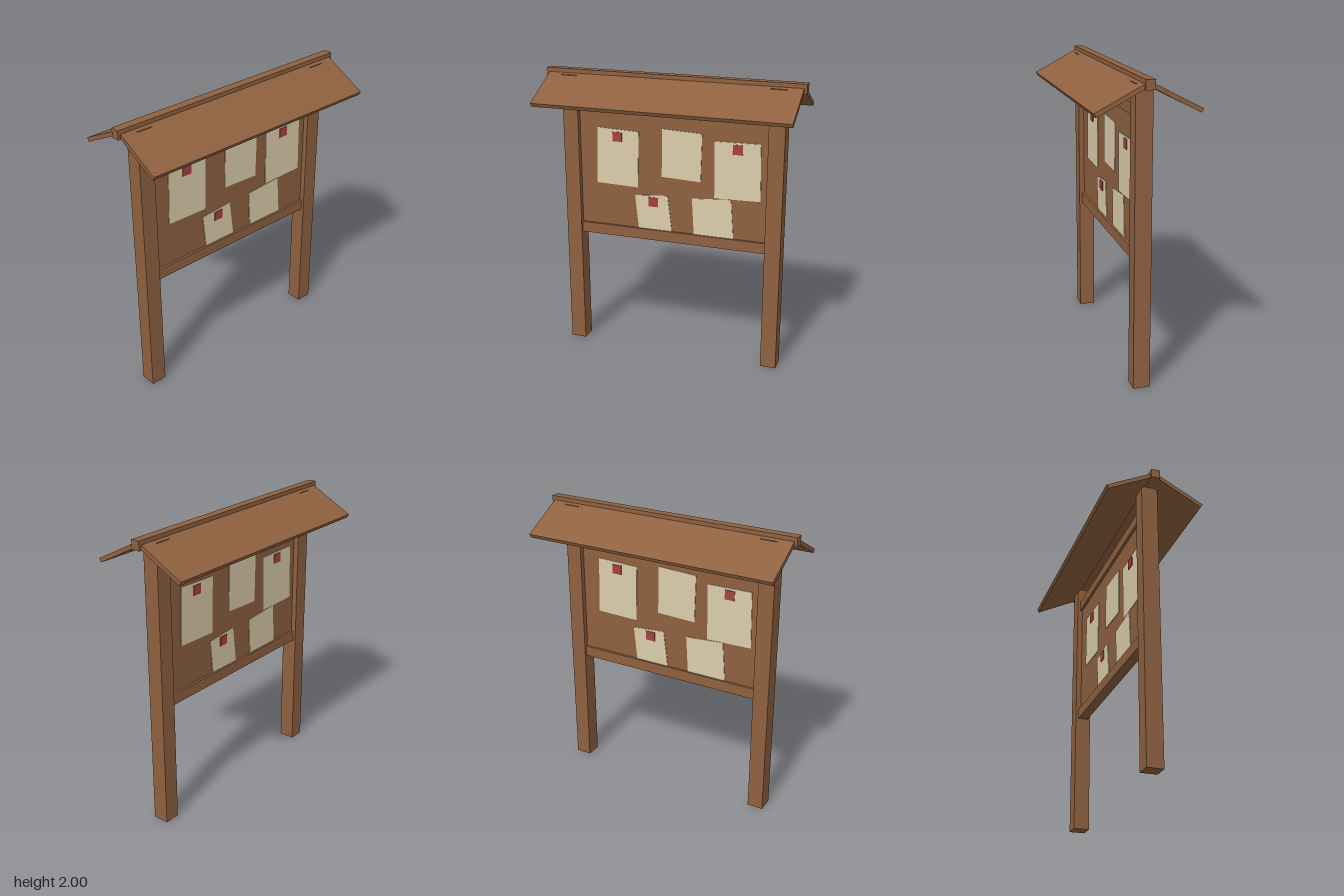
import * as THREE from 'three';

const material = (name, color) => {
  const m = new THREE.MeshStandardMaterial({ color });
  m.name = name;
  return m;
};

export function createModel() {
  const model = new THREE.Group();
  model.name = 'noticeBoard';
  const wood = material('wood', 0x8f6140);
  const paper = material('paper', 0xdccdab);
  const red = material('red', 0xa84040);

  const box = (name, parent, mat, [w, h, d], [x, y, z]) => {
    const mesh = new THREE.Mesh(new THREE.BoxGeometry(w, h, d), mat);
    mesh.name = name;
    mesh.position.set(x, y, z);
    parent.add(mesh);
    return mesh;
  };

  // Frame: posts, board between them, and two rails
  for (const [name, side] of [['leftPost', 1], ['rightPost', -1]]) {
    box(name, model, wood, [0.109, 1.964, 0.11], [side * 0.7215, 0.982, 0]);
  }
  const boardZ = 0.018;
  box('board', model, wood, [1.335, 0.9, boardZ * 2], [0, 1.33, 0]);
  box('lowerRail', model, wood, [1.335, 0.075, 0.07], [0, 0.8735, 0]);
  box('upperRail', model, wood, [1.335, 0.075, 0.07], [0, 1.7865, 0]);
  box('ridgeBeam', model, wood, [1.79, 0.062, 0.06], [0, 1.969, 0]);

  // Notices, as corner points on the board; the lower two tuck behind the rail
  const notices = [
    [[-0.537, 1.61], [-0.235, 1.6], [-0.246, 1.206], [-0.548, 1.214]],
    [[-0.066, 1.635], [0.214, 1.624], [0.206, 1.29], [-0.071, 1.3]],
    [[0.299, 1.582], [0.614, 1.587], [0.622, 1.196], [0.304, 1.188]],
    [[-0.267, 1.148], [-0.029, 1.169], [0.006, 0.88], [-0.24, 0.88]],
    [[0.146, 1.169], [0.421, 1.19], [0.444, 0.88], [0.163, 0.88]],
  ];
  const pins = [[-0.392, 1.553], [0.46, 1.537], [-0.132, 1.112]];

  // Both faces carry the same roof slope and notices, turned half round
  for (const [name, turn] of [['frontSide', 0], ['backSide', Math.PI]]) {
    const half = new THREE.Group();
    half.name = name;
    half.rotation.y = turn;
    model.add(half);

    const slope = new THREE.Group();
    slope.name = 'roofSlope';
    slope.position.y = 1.988;
    slope.rotation.x = 0.48;
    half.add(slope);
    box('roofPanel', slope, wood, [1.754, 0.028, 0.375], [0, -0.014, 0.1875]);

    for (const corners of notices) {
      const shape = new THREE.Shape(corners.map(([x, y]) => new THREE.Vector2(x, y)));
      const sheet = new THREE.Mesh(
        new THREE.ExtrudeGeometry(shape, { depth: 0.004, bevelEnabled: false }), paper);
      sheet.name = 'notice';
      sheet.position.z = boardZ;
      half.add(sheet);
    }
    for (const [x, y] of pins) {
      box('pin', half, red, [0.068, 0.066, 0.006], [x, y, boardZ + 0.006]);
    }
  }
  return model;
}
